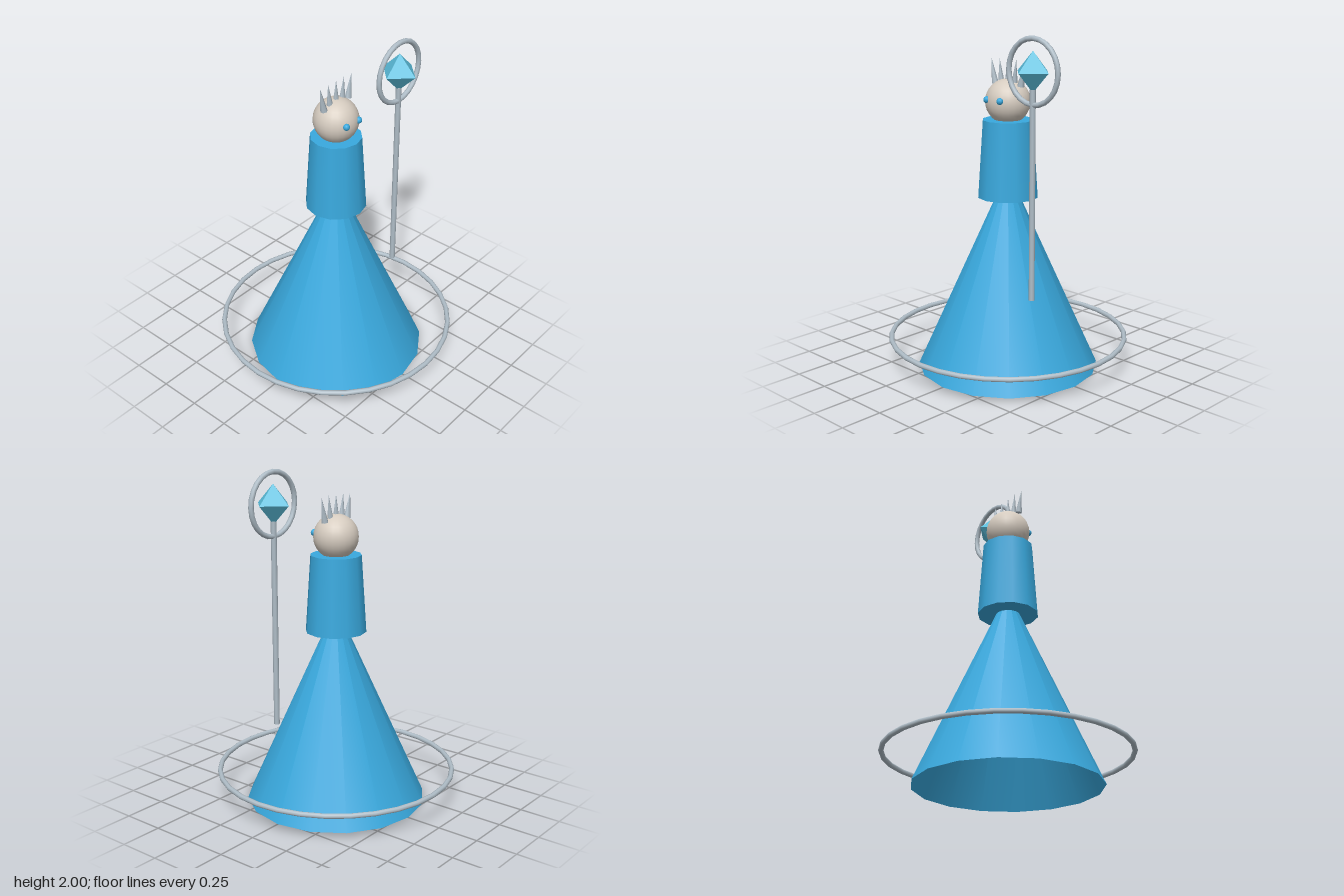
import * as THREE from 'three';

function mat(name, color, extra = {}) {
  const m = new THREE.MeshStandardMaterial({ color, ...extra });
  m.name = name;
  return m;
}

export function createModel() {
  const root = new THREE.Group();
  root.name = 'crownedFigure';

  const robe = mat('robeBlue', 0x39a9de);
  robe.side = THREE.DoubleSide;
  const silver = mat('silver', 0xb0bec8);
  const skin = mat('paleSkin', 0xd6ccc0);
  const crystal = mat('crystalBlue', 0x5bbedc);

  function add(name, geometry, material, x = 0, y = 0, z = 0, parent = root) {
    const mesh = new THREE.Mesh(geometry, material);
    mesh.name = name;
    mesh.position.set(x, y, z);
    parent.add(mesh);
    return mesh;
  }

  // Hollow skirt, its tip hidden in the torso
  add('skirt', new THREE.ConeGeometry(0.537, 1.193, 16, 1, true), robe, 0, 0.5965, 0);

  // Torso
  add('torso', new THREE.CylinderGeometry(0.149, 0.179, 0.454, 12), robe, 0, 1.264, 0);

  // Floating ring around the skirt
  add('skirtRing', new THREE.TorusGeometry(0.7, 0.015, 8, 32), silver, 0, 0.186, 0)
    .rotation.x = Math.PI / 2;

  // Head and eyes
  add('head', new THREE.SphereGeometry(0.131, 24, 16), skin, 0, 1.595, 0);
  for (const side of [-1, 1]) {
    add(side > 0 ? 'leftEye' : 'rightEye', new THREE.SphereGeometry(0.02, 10, 8), robe,
      side * 0.052, 1.611, 0.119);
  }

  // Crown: a row of spikes fanning outwards
  const crown = new THREE.Group();
  crown.name = 'crown';
  root.add(crown);
  const spike = new THREE.ConeGeometry(0.021, 0.149, 6);
  for (let i = -2; i <= 2; i++) {
    add('crownSpike', spike, silver, i * 0.058, 1.762, 0, crown).rotation.z = -i * 0.1;
  }

  // Staff with a crystal inside an upright ring
  const staff = new THREE.Group();
  staff.name = 'staff';
  staff.position.set(0.346, 0, 0.165);
  root.add(staff);
  add('staffPole', new THREE.CylinderGeometry(0.0165, 0.0165, 1.193, 8), silver, 0, 1.116, 0, staff);
  add('staffRing', new THREE.TorusGeometry(0.179, 0.015, 8, 24), silver, 0, 1.806, 0, staff);
  add('staffCrystal', new THREE.OctahedronGeometry(0.113), crystal, 0, 1.806, 0, staff);

  return root;
}
